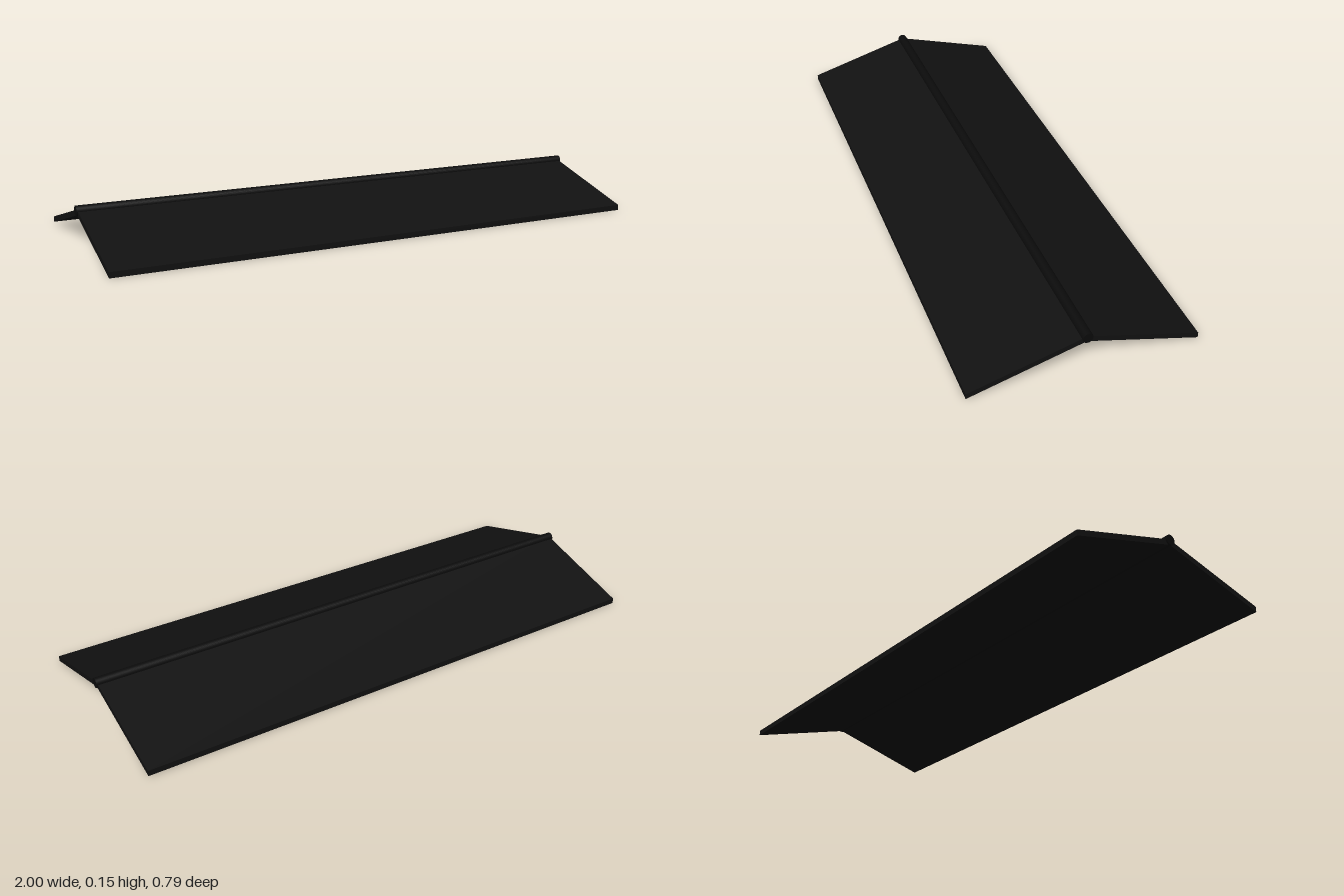
import * as THREE from 'three';

const HALF_DEPTH = 0.393;
const RISE = 0.112;
const THICK = 0.02;
const LENGTH = 1.99;

export function createModel() {
  const group = new THREE.Group();
  group.name = 'gableRoof';
  const panelMaterial = new THREE.MeshStandardMaterial({ color: 0x111111 });
  const ridgeMaterial = new THREE.MeshStandardMaterial({ color: 0x0b0b0b });

  // Sloping panels with plumb-cut eaves, mirrored about the ridge
  for (const side of [1, -1]) {
    const profile = new THREE.Shape([
      new THREE.Vector2(0, RISE),
      new THREE.Vector2(side * HALF_DEPTH, 0),
      new THREE.Vector2(side * HALF_DEPTH, THICK),
      new THREE.Vector2(0, RISE + THICK),
    ]);
    const geometry = new THREE.ExtrudeGeometry(profile, { depth: LENGTH, bevelEnabled: false });
    geometry.translate(0, 0, -LENGTH / 2);
    geometry.rotateY(-Math.PI / 2);
    const panel = new THREE.Mesh(geometry, panelMaterial);
    panel.name = side > 0 ? 'frontRoofPanel' : 'backRoofPanel';
    // The profile's x axis becomes +z after the turn
    group.add(panel);
  }

  // Round ridge cap, slightly longer than the panels
  const ridge = new THREE.Mesh(new THREE.CylinderGeometry(0.018, 0.018, 2, 24), ridgeMaterial);
  ridge.name = 'ridgeCap';
  ridge.rotation.z = Math.PI / 2;
  ridge.position.y = 0.128;
  group.add(ridge);

  return group;
}
